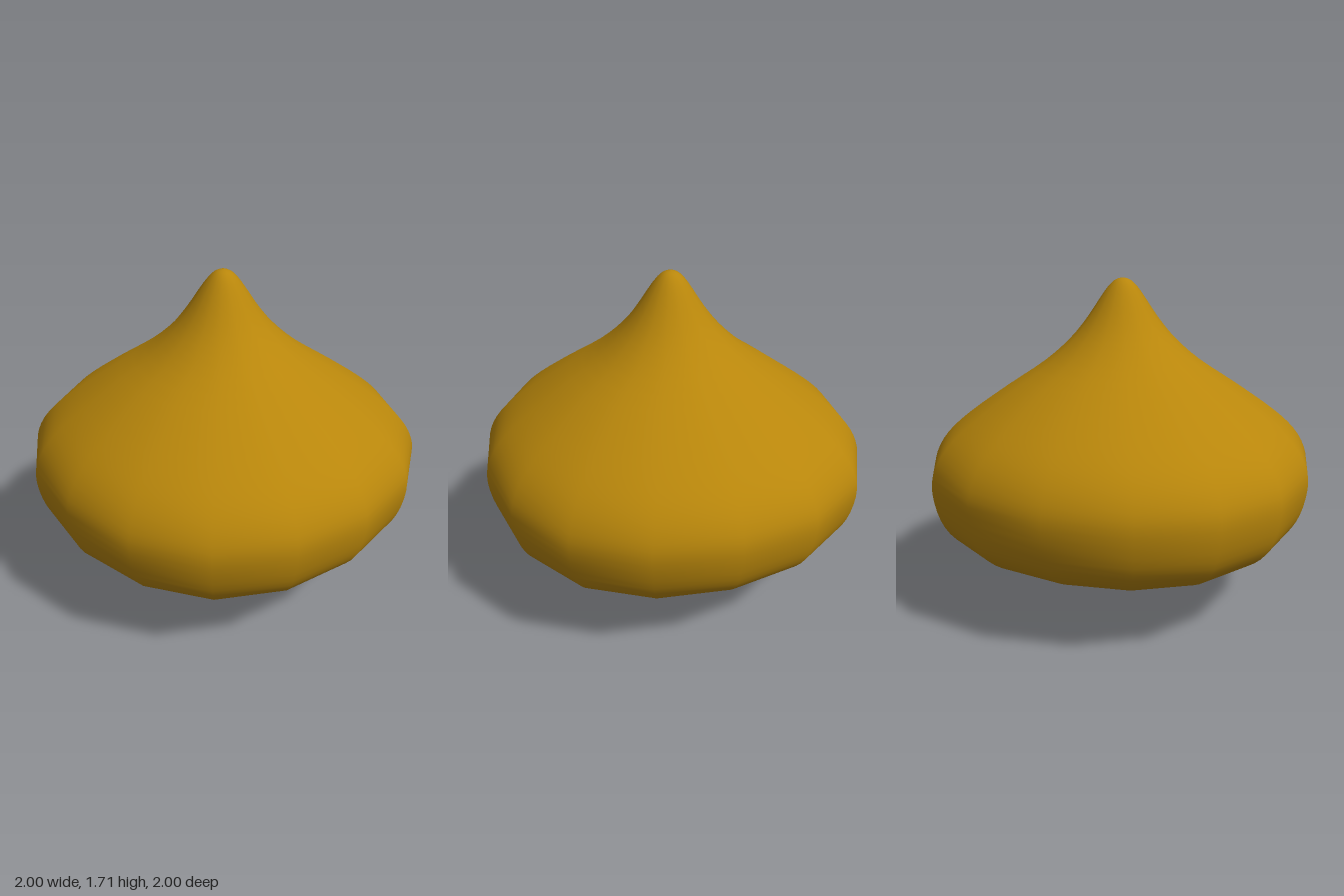
import * as THREE from 'three';

const gold = new THREE.MeshStandardMaterial({ color: 0xb8860b });
gold.name = 'dark gold';

// Onion dome profile (radius, height), from the lower tip to the upper tip
const profile = [
  [0, 0], [0.022, 0.011], [0.05, 0.045], [0.1, 0.085], [0.2, 0.138], [0.4, 0.212],
  [0.6, 0.27], [0.78, 0.335], [0.9, 0.42], [0.968, 0.53], [1, 0.68], [0.985, 0.79],
  [0.92, 0.9], [0.8, 1.01], [0.6, 1.152], [0.4, 1.285], [0.27, 1.4], [0.18, 1.51],
  [0.09, 1.645], [0.04, 1.698], [0, 1.71],
].map(([r, y]) => new THREE.Vector2(r, y));

function domeGeometry() {
  const points = new THREE.SplineCurve(profile).getPoints(60);
  points.forEach((p) => { p.x = THREE.MathUtils.clamp(p.x, 0, 1); p.y = Math.max(p.y, 0); });
  const geometry = new THREE.LatheGeometry(points, 16);
  // The rings are slightly squarish: fuller on the diagonals
  const pos = geometry.attributes.position;
  for (let i = 0; i < pos.count; i++) {
    const x = pos.getX(i), z = pos.getZ(i);
    const angle = Math.atan2(x, z);
    const radius = Math.hypot(x, z) * (1 + 0.037 * Math.sin(2 * angle) ** 2);
    const turned = angle + 0.014 * Math.sin(4 * angle);
    pos.setXYZ(i, radius * Math.sin(turned), pos.getY(i), radius * Math.cos(turned));
  }
  return geometry;
}

export function createModel() {
  const model = new THREE.Group();
  model.name = 'onionDome';
  const dome = new THREE.Mesh(domeGeometry(), gold);
  dome.name = 'domeBody';
  model.add(dome);
  return model;
}
